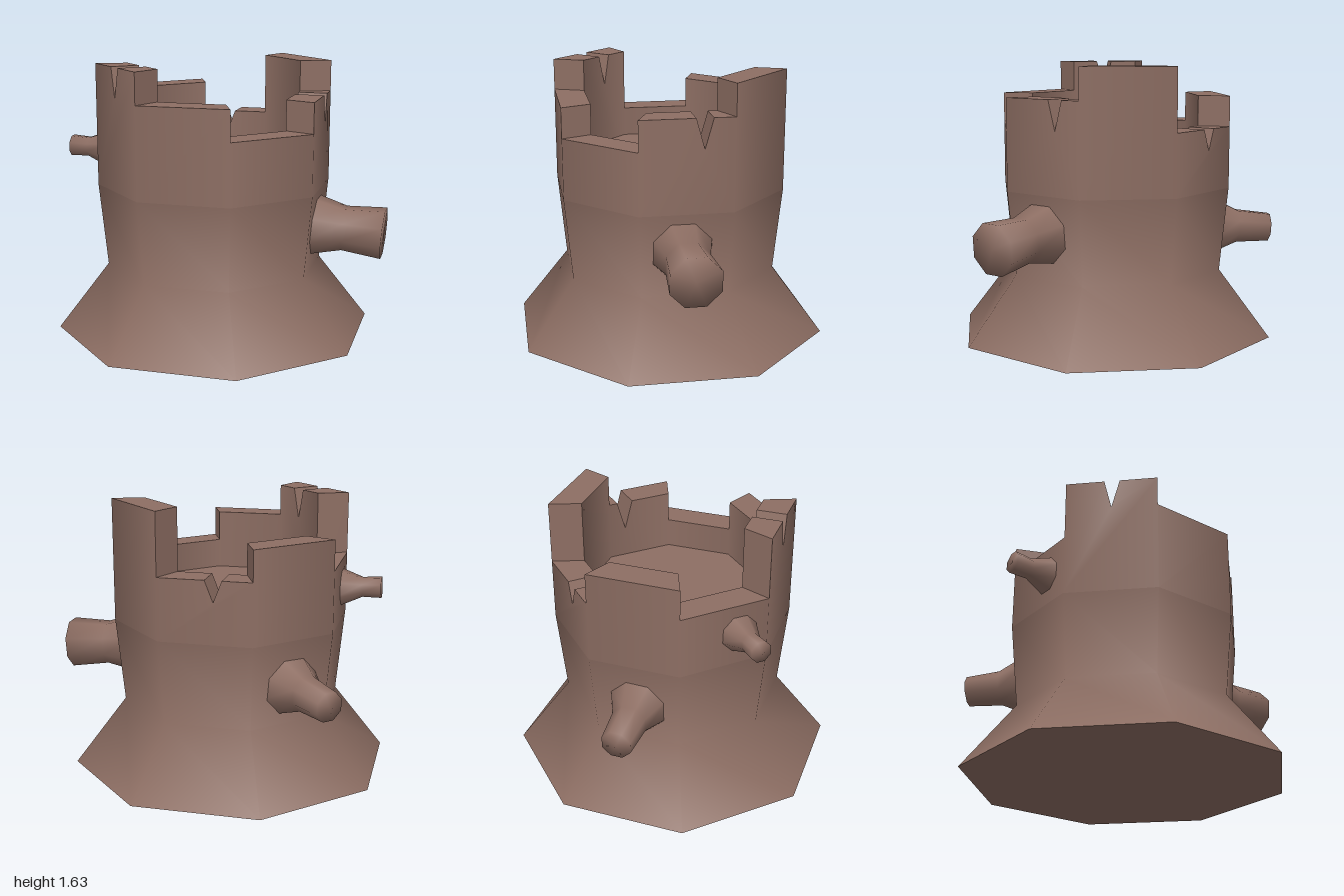
import * as THREE from 'three';

const bark = new THREE.MeshStandardMaterial({ color: 0x8d6e63 });
bark.name = 'bark brown';

const R = 0.71, INNER = 0.52, WALL_BASE = 0.9, FLOOR = 1.09;
const HALF = Math.PI / 8;
const L = 2 * R * Math.sin(HALF);
const APOTHEM = R * Math.cos(HALF);
const DEPTH = (R - INNER) * Math.cos(HALF);
const MITRE = (R - INNER) * Math.sin(HALF);

function add(parent, name, geometry) {
  const mesh = new THREE.Mesh(geometry, bark);
  mesh.name = name;
  parent.add(mesh);
  return mesh;
}

const lathe = (pts) =>
  new THREE.LatheGeometry(pts.map(([r, y]) => new THREE.Vector2(r, y)), 8);

// One side of the broken rim: an upright slab with mitred ends and an optional V crack
function rimGeometry(top, crack) {
  const s = new THREE.Shape();
  s.moveTo(0, WALL_BASE);
  s.lineTo(L, WALL_BASE);
  s.lineTo(L, top);
  if (crack) {
    const [from, tip, to, tipY] = crack;
    s.lineTo(to * L, top);
    s.lineTo(tip * L, tipY);
    s.lineTo(from * L, top);
  }
  s.lineTo(0, top);
  s.closePath();
  const g = new THREE.ExtrudeGeometry(s, { depth: DEPTH, bevelEnabled: false });
  g.translate(-L / 2, 0, APOTHEM - DEPTH);

  // pull the inner ends in so neighbouring slabs meet
  const p = g.attributes.position;
  for (let i = 0; i < p.count; i++) {
    const x = p.getX(i);
    if (p.getZ(i) < APOTHEM - DEPTH / 2 && Math.abs(x) > L / 2 - 0.001)
      p.setX(i, x - Math.sign(x) * MITRE);
  }
  g.computeVertexNormals();

  // round the shading of the outer and inner faces
  const n = g.attributes.normal;
  for (let i = 0; i < p.count; i++) {
    const nz = n.getZ(i);
    if (Math.abs(nz) < 0.99) continue;
    const d = Math.hypot(p.getX(i), p.getZ(i)) * Math.sign(nz);
    n.setXYZ(i, p.getX(i) / d, 0, p.getZ(i) / d);
  }
  return g;
}

// Broken branch: flared root, narrow neck, blunt end
function branch(parent, name, from, to, root, neck, neckAt, end) {
  const a = new THREE.Vector3(...from), b = new THREE.Vector3(...to);
  const dir = b.clone().sub(a);
  const len = dir.length();
  const mesh = add(parent, name,
    lathe([[root, 0], [neck, len * neckAt], [end, len], [0, len]]));
  mesh.position.copy(a);
  mesh.quaternion.setFromUnitVectors(new THREE.Vector3(0, 1, 0), dir.normalize());
}

export function createModel() {
  const model = new THREE.Group();
  model.name = 'treeStump';

  const trunk = new THREE.Group();
  trunk.name = 'trunk';
  trunk.position.z = -0.03;
  model.add(trunk);

  // Flared foot and trunk
  add(trunk, 'trunkBark', lathe([[0.97, 0], [0.66, 0.4], [R, WALL_BASE]]));
  add(trunk, 'underside', new THREE.CircleGeometry(0.97, 8)).rotation.x = Math.PI / 2;
  const floor = add(trunk, 'hollowFloor', new THREE.CircleGeometry(INNER, 8));
  floor.rotation.x = -Math.PI / 2;
  floor.position.y = FLOOR;

  // Broken rim, from the front round by the left: height, then crack start, tip, end, tip height
  const rim = [
    [1.445, [0.59, 0.68, 0.77, 1.27]],
    [1.63],
    [1.265, [0.5, 0.59, 0.68, 1.14]],
    [1.445],
    [1.265],
    [1.63, [0.42, 0.5, 0.59, 1.45]],
    [1.445],
    [1.265],
  ];
  rim.forEach(([top, crack], k) => {
    add(trunk, 'rim' + (k + 1), rimGeometry(top, crack)).rotation.y = (2 * k + 1) * HALF;
  });

  // Branch stubs
  branch(model, 'frontBranch', [0.21, 0.68, 0.53], [0.38, 0.65, 0.94], 0.19, 0.135, 0.47, 0.155);
  branch(model, 'backBranch', [0.22, 0.63, -0.58], [0.36, 0.605, -0.94], 0.19, 0.105, 0.47, 0.09);
  branch(model, 'smallBackBranch', [-0.32, 1.09, -0.56], [-0.43, 1.1, -0.815], 0.13, 0.06, 0.6, 0.065);

  return model;
}
